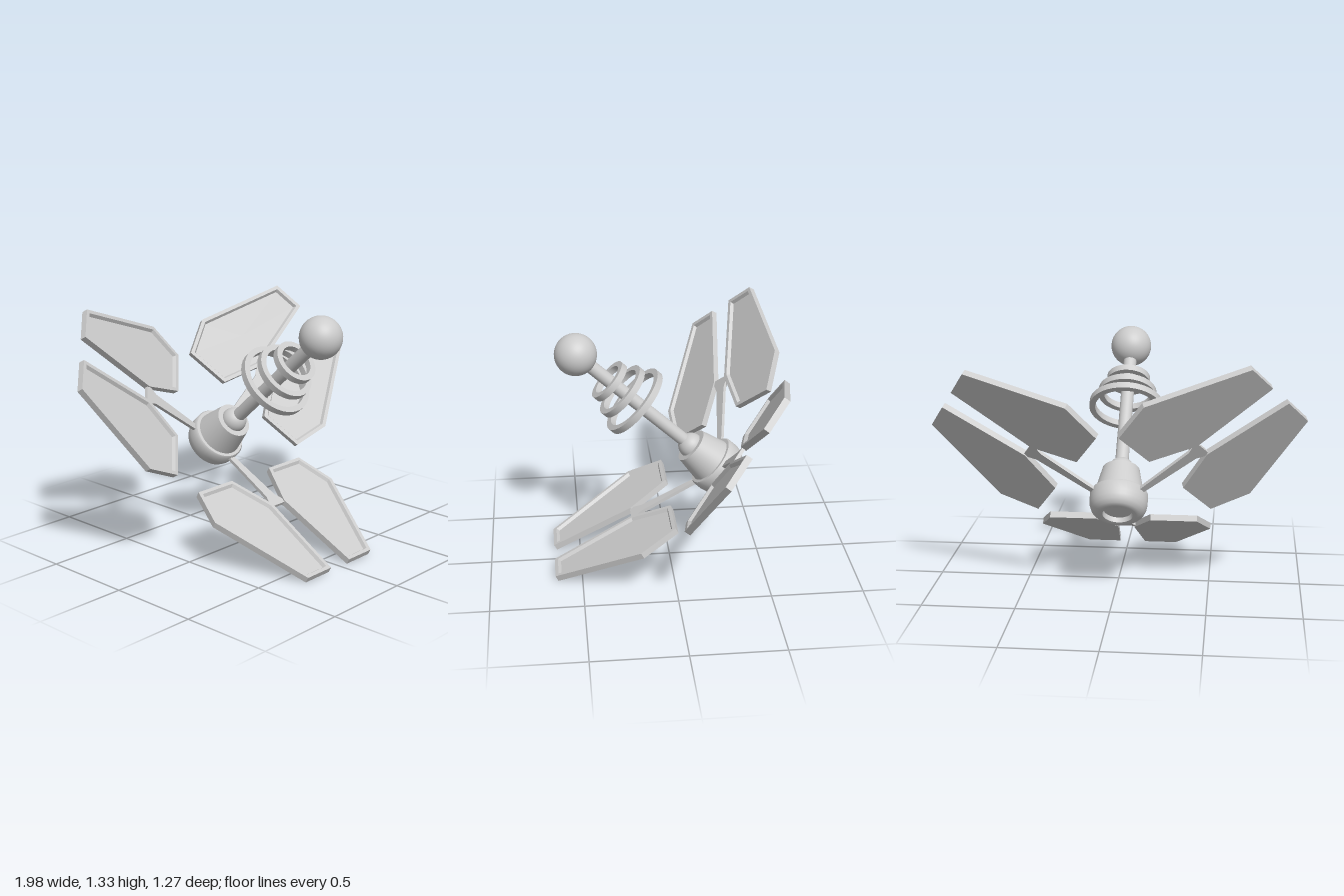
import * as THREE from 'three';
import { toCreasedNormals } from 'three/addons/utils/BufferGeometryUtils.js';

const material = new THREE.MeshStandardMaterial({ color: 0xcccccc });

function add(parent, name, geometry, y = 0) {
  const mesh = new THREE.Mesh(geometry, material);
  mesh.name = name;
  mesh.position.y = y;
  parent.add(mesh);
  return mesh;
}

// Revolved [radius, height] profile, listed bottom to top, with crisp edges
function lathe(profile) {
  const pts = profile.map(([r, h]) => new THREE.Vector2(r, h));
  return toCreasedNormals(new THREE.LatheGeometry(pts, 40), 0.65);
}

// Moves every edge of a polygon inwards (toward its centre) by d
function inset(poly, d) {
  const n = poly.length;
  const centre = poly.reduce((s, p) => s.add(p), new THREE.Vector2()).divideScalar(n);
  const edgeNormal = (a, b) => {
    const m = new THREE.Vector2(a.y - b.y, b.x - a.x).normalize();
    return m.dot(centre.clone().sub(a)) < 0 ? m.negate() : m;
  };
  return poly.map((p, i) => {
    const n1 = edgeNormal(poly[(i + n - 1) % n], p);
    const n2 = edgeNormal(p, poly[(i + 1) % n]);
    return n1.clone().add(n2).multiplyScalar(d / (1 + n1.dot(n2))).add(p);
  });
}

// Flat-shaded solid skinned over rings of equal length, closed at both ends.
// Rings run counter-clockwise seen from +y, starting at the underside.
function skin(rings) {
  const pos = [];
  const tri = (...v) => v.forEach((p) => pos.push(p.x, p.y, p.z));
  const mid = (ring) => ring.reduce((s, p) => s.add(p), new THREE.Vector3()).divideScalar(ring.length);
  const first = rings[0], last = rings[rings.length - 1];
  const c0 = mid(first), c1 = mid(last), n = first.length;
  for (let i = 0; i < n; i++) {
    const j = (i + 1) % n;
    tri(first[j], first[i], c0);
    tri(last[i], last[j], c1);
    for (let k = 0; k + 1 < rings.length; k++) {
      const a = rings[k], b = rings[k + 1];
      tri(a[i], a[j], b[j]);
      tri(a[i], b[j], b[i]);
    }
  }
  const g = new THREE.BufferGeometry();
  g.setAttribute('position', new THREE.Float32BufferAttribute(pos, 3));
  g.computeVertexNormals();
  return g;
}

const lift = (poly, y) => poly.map((p) => new THREE.Vector3(p.x, y, p.y));

// Six-sided tray: flat back, raised rim, bevel down to a recessed face
const OUTLINE = [[0.15, 0.32], [0.405, 0.32], [0.475, 0.535], [0.26, 1.05], [0.075, 1.05], [0.045, 0.555]];
function panel(side) {
  const poly = OUTLINE.map(([x, z]) => new THREE.Vector2(side * x, z));
  if (side > 0) poly.reverse();
  return skin([
    lift(poly, -0.017),
    lift(poly, 0.017),
    lift(inset(poly, 0.02), 0.017),
    lift(inset(poly, 0.03), 0.0),
  ]);
}

// Arm widening from the hub to a short crossbar between the two panels
function armGeometry() {
  const half = [[0.014, 0.08], [0.033, 0.535], [0.055, 0.54], [0.055, 0.562]];
  const shape = [
    ...half.map(([x, z]) => new THREE.Vector2(-x, z)),
    ...half.map(([x, z]) => new THREE.Vector2(x, z)).reverse(),
  ];
  return skin([lift(shape, -0.009), lift(shape, 0.009)]);
}

export function createModel() {
  const model = new THREE.Group();
  model.name = 'panelProbe';

  // Tilted frame: local y runs along the mast, origin where the arms meet
  const body = new THREE.Group();
  body.name = 'body';
  body.position.set(-0.025, 0.52, -0.284);
  body.rotation.x = THREE.MathUtils.degToRad(47.7);
  model.add(body);

  // Hub with rounded, recessed back and a tapered collar
  add(body, 'hub', lathe([
    [0, -0.03], [0.075, -0.03], [0.08, -0.057], [0.1, -0.06], [0.122, -0.052], [0.14, -0.034],
    [0.15, -0.01], [0.154, 0.015], [0.154, 0.065], [0.147, 0.075], [0.13, 0.075],
    [0.1, 0.22], [0, 0.22],
  ]));
  add(body, 'mastBase', new THREE.SphereGeometry(0.07, 32, 10, 0, Math.PI * 2, 0, Math.PI / 2), 0.22);

  // Mast and ball tip
  add(body, 'mast', new THREE.CylinderGeometry(0.036, 0.036, 0.76, 32), 0.6);
  add(body, 'ballTip', new THREE.SphereGeometry(0.113, 40, 28), 1.05);

  // Three flat rings, growing toward the hub
  for (const [radius, y] of [[0.12, 0.813], [0.16, 0.722], [0.204, 0.634]]) {
    const inner = radius - 0.032, h = 0.018;
    add(body, 'ring', lathe([[inner, -h], [radius, -h], [radius, h], [inner, h], [inner, -h]]), y);
  }

  // Three arms, each carrying a mirrored pair of panels
  for (const angle of [0, 117.5, -124]) {
    const wing = new THREE.Group();
    wing.name = 'wing';
    wing.rotation.set(-0.337, THREE.MathUtils.degToRad(angle), 0, 'YXZ');
    body.add(wing);
    add(wing, 'arm', armGeometry());
    for (const side of [-1, 1]) add(wing, 'panel', panel(side));
  }
  return model;
}
